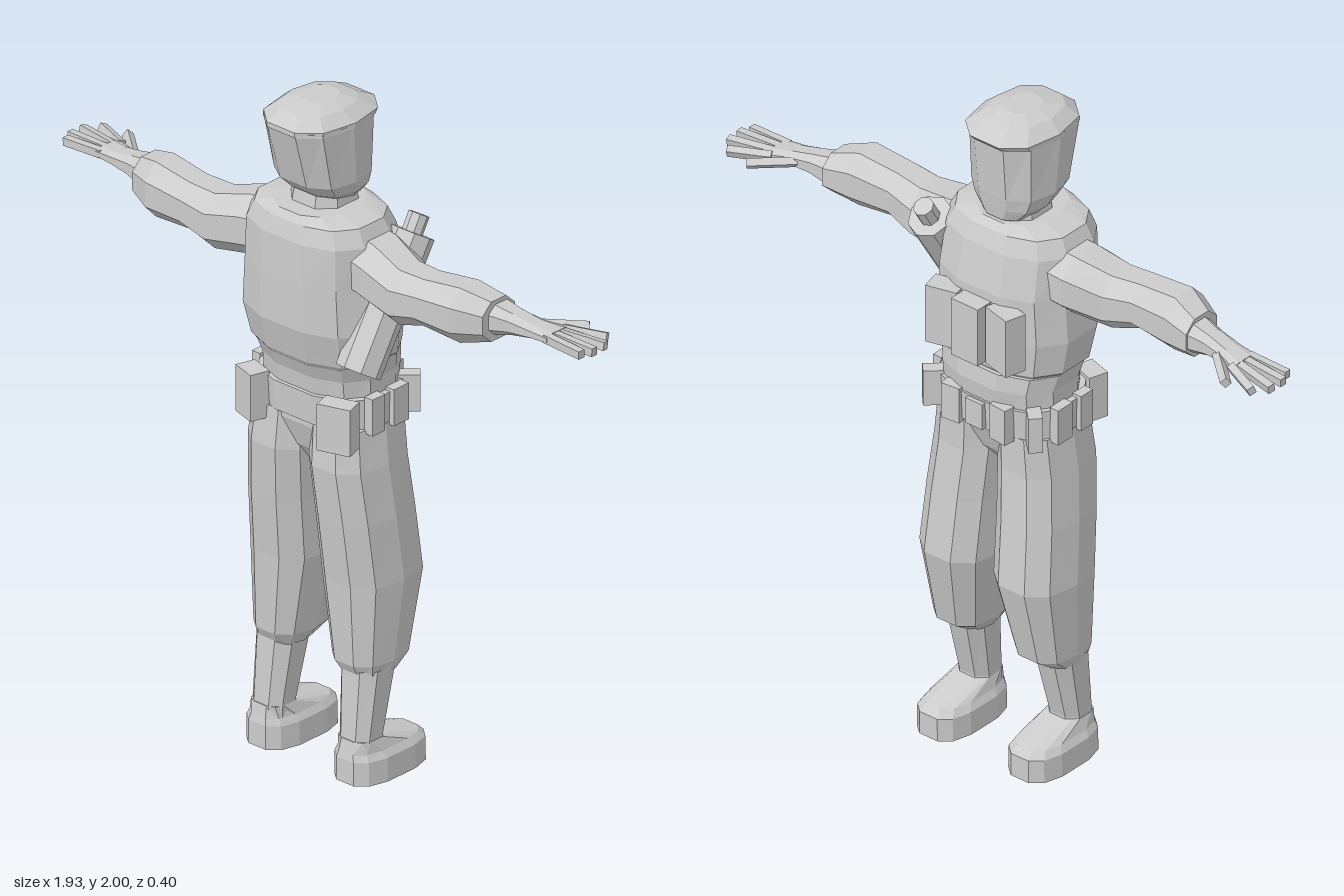
import * as THREE from 'three';

const material = new THREE.MeshStandardMaterial({ color: 0xcccccc, flatShading: true });

// Lofts rounded polygons. Row: [t, a0, a1, b0, b1], the extents of one section.
// Upright: t = y, a = z, b = x. Sideways: t = x, a = y, b = z.
function loft(rows, { sides = 12, sideways = false, power = 0.8, mirror = 1 } = {}) {
  const pos = [], idx = [];
  const put = (t, a, b) => {
    const [x, y, z] = sideways ? [t, a, b] : [b, t, a];
    pos.push(x * mirror, y, z);
  };
  const tri = (a, b, c) => (mirror > 0 ? idx.push(a, b, c) : idx.push(a, c, b));
  const top = Math.cos(Math.PI / sides) ** power;
  const bend = v => Math.sign(v) * Math.abs(v) ** power / top;
  for (const [t, a0, a1, b0, b1] of rows) {
    for (let i = 0; i < sides; i++) {
      const u = (i + 0.5) / sides * Math.PI * 2;
      put(t, (a0 + a1) / 2 + (a1 - a0) / 2 * bend(Math.cos(u)),
        (b0 + b1) / 2 + (b1 - b0) / 2 * bend(Math.sin(u)));
    }
  }
  for (let r = 0; r < rows.length - 1; r++) {
    for (let i = 0; i < sides; i++) {
      const j = (i + 1) % sides, p = r * sides, q = p + sides;
      tri(p + i, p + j, q + j);
      tri(p + i, q + j, q + i);
    }
  }
  // end caps
  for (const r of [0, rows.length - 1]) {
    const [t, a0, a1, b0, b1] = rows[r], c = pos.length / 3, p = r * sides;
    put(t, (a0 + a1) / 2, (b0 + b1) / 2);
    for (let i = 0; i < sides; i++) {
      const j = (i + 1) % sides;
      if (r) tri(c, p + i, p + j); else tri(c, p + j, p + i);
    }
  }
  const g = new THREE.BufferGeometry();
  g.setAttribute('position', new THREE.Float32BufferAttribute(pos, 3));
  g.setIndex(idx);
  g.computeVertexNormals();
  return g;
}

export function createModel() {
  const model = new THREE.Group();
  model.name = 'figure';
  const add = (name, geometry, parent = model) => {
    const m = new THREE.Mesh(geometry, material);
    m.name = name;
    parent.add(m);
    return m;
  };
  // A solid of unit length on y, stretched between two points
  const between = (name, from, to, geometry, parent) => {
    const a = new THREE.Vector3(...from), b = new THREE.Vector3(...to), d = b.clone().sub(a);
    const m = add(name, geometry, parent);
    m.position.copy(a).add(b).multiplyScalar(0.5);
    m.scale.y = d.length();
    m.quaternion.setFromUnitVectors(new THREE.Vector3(0, 1, 0), d.normalize());
    return m;
  };
  const block = (name, w, h, d, x, y, z, turn = 0) => {
    const m = add(name, new THREE.BoxGeometry(w, h, d));
    m.position.set(x, y, z);
    m.rotation.y = turn;
    return m;
  };

  // Head, cap and neck
  add('neck', loft([[1.64, -0.06, 0.12, -0.09, 0.09], [1.74, -0.06, 0.1, -0.08, 0.08]], { sides: 8 }));
  add('head', loft([
    [1.695, -0.075, 0.06, -0.07, 0.07], [1.73, -0.08, 0.11, -0.105, 0.105],
    [1.77, -0.085, 0.15, -0.12, 0.12], [1.95, -0.1, 0.2, -0.125, 0.125],
  ], { sides: 10 }));
  const cap = loft([
    [1.94, -0.105, 0.2, -0.126, 0.126], [1.955, -0.118, 0.2, -0.126, 0.126],
    [1.985, -0.06, 0.165, -0.09, 0.09], [2, -0.01, 0.1, -0.045, 0.045],
  ], { sides: 10 });
  add('cap', cap);

  // Torso: vest over shirt, with a collar
  add('vest', loft([
    [1.245, -0.13, 0.165, -0.195, 0.195], [1.26, -0.14, 0.175, -0.21, 0.21],
    [1.36, -0.145, 0.2, -0.225, 0.225], [1.5, -0.145, 0.2, -0.215, 0.215],
    [1.62, -0.12, 0.195, -0.21, 0.21], [1.67, -0.1, 0.18, -0.185, 0.185],
    [1.69, -0.08, 0.165, -0.11, 0.11],
  ]));
  add('shirt', loft([
    [1.12, -0.14, 0.135, -0.19, 0.19], [1.2, -0.15, 0.145, -0.19, 0.19],
    [1.25, -0.145, 0.165, -0.2, 0.2],
  ]));
  add('pelvis', loft([
    [0.89, -0.03, 0.06, -0.04, 0.04], [0.96, -0.09, 0.11, -0.11, 0.11],
    [1.04, -0.12, 0.135, -0.19, 0.19], [1.13, -0.135, 0.135, -0.19, 0.19],
  ]));

  // Belt and the pouches around it
  add('belt', loft([
    [1.06, -0.145, 0.145, -0.205, 0.205], [1.15, -0.15, 0.15, -0.208, 0.208],
  ]));
  block('backBeltPouchLeft', 0.1, 0.14, 0.06, 0.165, 1.09, 0.15, 0.3);
  block('backBeltPouchRight', 0.08, 0.14, 0.06, -0.15, 1.09, 0.15, -0.3);
  for (const s of [1, -1]) {
    block('sideBeltPouch', 0.03, 0.11, 0.05, s * 0.207, 1.105, 0.05);
    block('sideBeltPouch', 0.03, 0.11, 0.06, s * 0.207, 1.105, -0.04);
    block('cornerBeltPouch', 0.07, 0.11, 0.04, s * 0.175, 1.105, -0.115, s * 0.75);
    block('frontBeltPouch', 0.06, 0.11, 0.035, s * 0.085, 1.105, -0.145, s * 0.1);
  }
  block('buckle', 0.06, 0.08, 0.02, 0, 1.105, -0.152);

  // Chest pouches
  for (const i of [-1, 0, 1]) {
    block('chestPouch', 0.095, 0.18, 0.065, i * 0.105, 1.385, -0.168 + 0.015 * Math.abs(i), i * 0.25);
  }

  // Slung canister under the left arm
  const canister = new THREE.Group();
  canister.name = 'canister';
  model.add(canister);
  between('canisterBody', [0.22, 1.265, 0.13], [0.22, 1.61, -0.085],
    new THREE.CylinderGeometry(0.065, 0.065, 1, 8), canister);
  between('canisterCap', [0.22, 1.6, -0.08], [0.22, 1.655, -0.113],
    new THREE.CylinderGeometry(0.03, 0.03, 1, 8), canister);

  for (const s of [1, -1]) {
    const side = s > 0 ? 'left' : 'right';
    // Leg: baggy trousers, boot shaft and shoe
    add(side + 'Trouser', loft([
      [0.31, -0.05, 0.085, 0.085, 0.22], [0.35, -0.105, 0.105, 0.06, 0.23],
      [0.59, -0.16, 0.115, 0.018, 0.245], [0.78, -0.14, 0.135, 0.012, 0.235],
      [0.94, -0.125, 0.15, 0.003, 0.22], [1.06, -0.125, 0.14, 0.005, 0.205],
    ], { sides: 10, mirror: s }));
    add(side + 'BootShaft', loft([
      [0.06, -0.01, 0.11, 0.105, 0.215], [0.13, 0, 0.105, 0.105, 0.215],
      [0.33, -0.05, 0.09, 0.09, 0.222],
    ], { sides: 8, mirror: s }));
    add(side + 'Shoe', loft([
      [0, -0.16, 0.12, 0.082, 0.242], [0.07, -0.16, 0.12, 0.084, 0.24],
      [0.09, -0.14, 0.115, 0.095, 0.228], [0.125, -0.005, 0.108, 0.105, 0.216],
    ], { power: 0.7, mirror: s }));

    // Arm: sleeve, cuffed forearm and palm
    add(side + 'Sleeve', loft([
      [0.15, 1.46, 1.64, -0.07, 0.12], [0.23, 1.45, 1.63, -0.065, 0.13],
      [0.34, 1.435, 1.6, -0.03, 0.14], [0.43, 1.465, 1.605, -0.015, 0.14],
      [0.56, 1.455, 1.62, -0.025, 0.135], [0.645, 1.475, 1.595, -0.035, 0.095],
    ], { sides: 8, sideways: true, power: 0.9, mirror: s }));
    add(side + 'Wrist', loft([
      [0.63, 1.488, 1.585, -0.03, 0.075], [0.7, 1.505, 1.57, -0.025, 0.055],
      [0.77, 1.515, 1.556, -0.033, 0.045], [0.83, 1.52, 1.548, -0.055, 0.04],
    ], { sides: 8, sideways: true, mirror: s }));
    // Fingers: [base x, base z, tip x, tip z]
    const fingers = [[0.815, 0.027, 0.95, 0.03], [0.82, 0.002, 0.965, -0.005],
      [0.82, -0.024, 0.963, -0.052], [0.815, -0.045, 0.93, -0.095], [0.745, -0.02, 0.85, -0.11]];
    fingers.forEach(([bx, bz, tx, tz], i) => between(
      side + (i < 4 ? 'Finger' : 'Thumb'), [s * bx, 1.535, bz], [s * tx, 1.53, tz],
      new THREE.BoxGeometry(0.024, 1, 0.022)));
  }
  return model;
}
